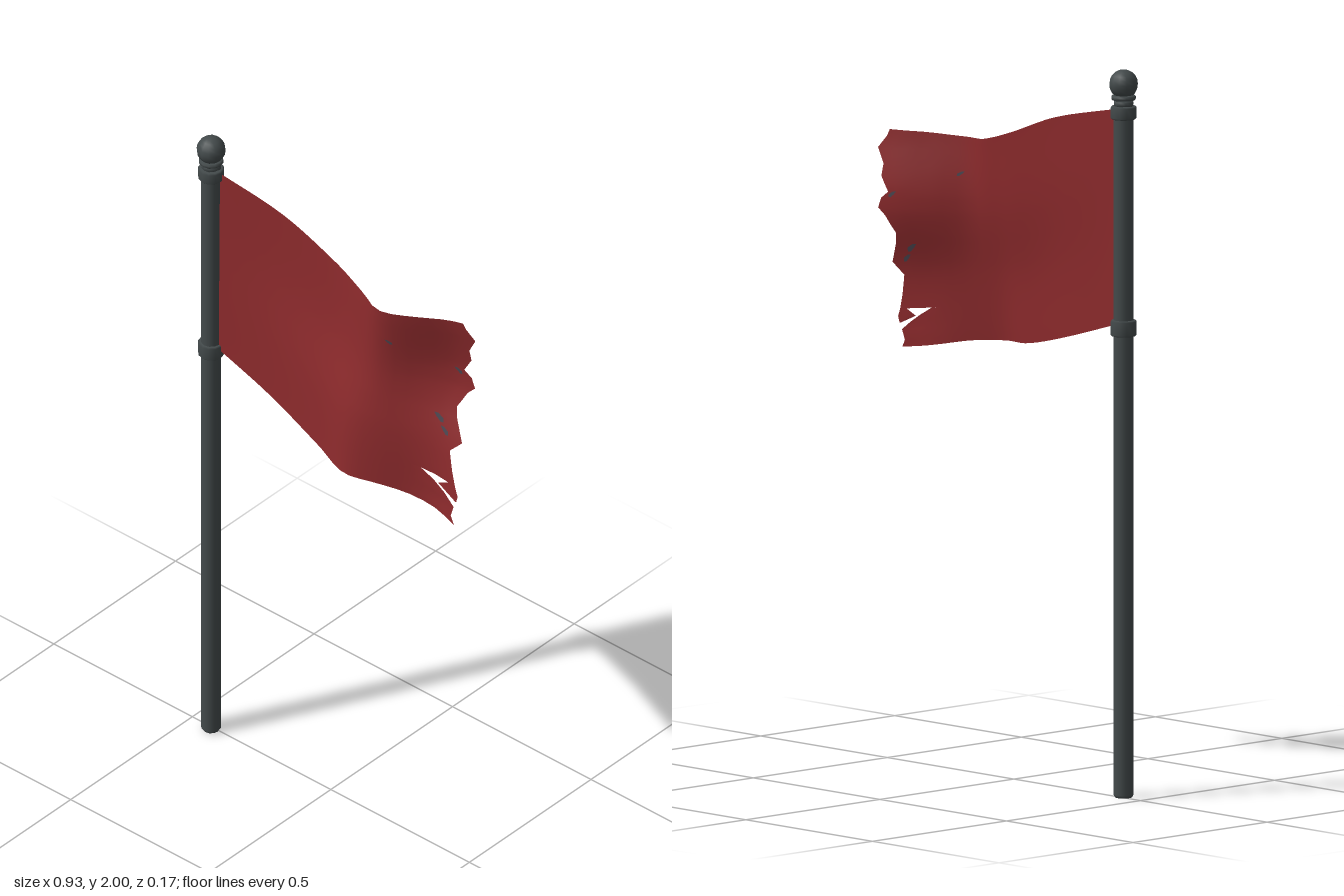
import * as THREE from 'three';
import { mergeGeometries, mergeVertices } from 'three/addons/utils/BufferGeometryUtils.js';

// Smooth curve through the points (xs, ys), with cubic Hermite pieces
function smooth(xs, ys, x) {
  const n = xs.length;
  x = Math.min(Math.max(x, xs[0]), xs[n - 1]);
  let i = 0;
  while (i < n - 2 && x > xs[i + 1]) i++;
  const slope = (k) => {
    const a = Math.max(k - 1, 0), b = Math.min(k + 1, n - 1);
    return (ys[b] - ys[a]) / (xs[b] - xs[a]);
  };
  const h = xs[i + 1] - xs[i], t = (x - xs[i]) / h, t2 = t * t, t3 = t2 * t;
  return (2 * t3 - 3 * t2 + 1) * ys[i] + (t3 - 2 * t2 + t) * h * slope(i)
    + (3 * t2 - 2 * t3) * ys[i + 1] + (t3 - t2) * h * slope(i + 1);
}

// Cloth surface: x along the flag, v from 0 (lower hem) to 1 (upper hem)
const EDGE_X = [-0.4, -0.18, 0, 0.14, 0.22, 0.33, 0.46];
const TOP_Y = [1.889, 1.842, 1.778, 1.741, 1.737, 1.743, 1.745];
const LOW_Y = [1.296, 1.233, 1.192, 1.18, 1.174, 1.153, 1.132];
const WAVE_X = [-0.4, -0.2, 0, 0.12, 0.2, 0.3, 0.38, 0.46];
const WAVE_V = [0, 0.33, 0.66, 1];
const WAVE_Z = [
  [0.005, 0.015, 0.05, 0.087, 0.063, 0.018, 0.005, 0.018],
  [0.004, 0.008, 0.035, 0.065, 0.05, 0.008, -0.016, -0.022],
  [0.002, -0.008, 0, 0.025, 0.025, -0.035, -0.075, -0.09],
  [0, -0.016, -0.017, 0.005, 0.03, -0.01, -0.055, -0.08],
];
function clothPoint(x, v, offset = 0) {
  const low = smooth(EDGE_X, LOW_Y, x), top = smooth(EDGE_X, TOP_Y, x);
  const z = smooth(WAVE_V, WAVE_Z.map((row) => smooth(WAVE_X, row, x)), v);
  return [x, low + (top - low) * v, z + offset];
}

// Sheet of cloth from rows [v, left x, right x], listed downwards.
// Columns left of x = 0.3 stay fixed so neighbouring sheets meet.
function sheet(rows, offset = 0) {
  const fine = [rows[0]];
  for (let i = 1; i < rows.length; i++) {
    const a = rows[i - 1], b = rows[i], steps = Math.ceil((a[0] - b[0]) / 0.045);
    for (let k = 1; k <= steps; k++) fine.push(a.map((c, j) => c + (b[j] - c) * k / steps));
  }
  const pos = [], index = [];
  const wide = rows[0][1] < 0.2 && rows[0][2] > 0.3;
  const fixed = wide ? 22 : 0, cols = fixed + 4;
  fine.forEach(([v, left, right], r) => {
    for (let c = 0; c <= cols; c++) {
      const start = wide ? 0.3 : left;
      const x = c < fixed ? left + (0.3 - left) * c / fixed : start + (right - start) * (c - fixed) / 4;
      pos.push(...clothPoint(x, v, offset));
      if (r && c) {
        const d = r * (cols + 1) + c, b = d - cols - 1;
        index.push(b - 1, d - 1, d, b - 1, d, b);
      }
    }
  });
  const geo = new THREE.BufferGeometry();
  geo.setAttribute('position', new THREE.Float32BufferAttribute(pos, 3));
  geo.setIndex(index);
  return geo;
}

export function createModel() {
  const model = new THREE.Group();
  const iron = new THREE.MeshStandardMaterial({ color: 0x434a4b });
  iron.name = 'dark iron';
  const cloth = new THREE.MeshStandardMaterial({ color: 0x8c2a2c, side: THREE.DoubleSide });
  cloth.name = 'red cloth';

  const add = (name, geo, mat, parent = model) => {
    const mesh = new THREE.Mesh(geo, mat);
    mesh.name = name;
    parent.add(mesh);
    return mesh;
  };

  // Pole with its fittings, all on one axis
  const post = new THREE.Group();
  post.name = 'flagpole';
  post.position.set(-0.427, 0, 0.006);
  model.add(post);
  const shaft = [[0, 0], [0.023, 0], [0.028, 0.008], [0.028, 1.9], [0, 1.9]];
  add('shaft', new THREE.LatheGeometry(shaft.map((p) => new THREE.Vector2(...p)), 12), iron, post);

  // Bevelled rings: name, middle height, radius, height
  const rings = [
    ['lowerCollar', 1.29, 0.036, 0.044],
    ['upperCollar', 1.882, 0.036, 0.036],
    ['lowerNeckRing', 1.907, 0.027, 0.016],
    ['upperNeckRing', 1.923, 0.034, 0.014],
  ];
  for (const [name, y, r, h] of rings) {
    const b = 0.004, e = h / 2;
    const profile = [[0, -e], [r - b, -e], [r, b - e], [r, e - b], [r - b, e], [0, e]];
    add(name, new THREE.LatheGeometry(profile.map((p) => new THREE.Vector2(...p)), 12), iron, post)
      .position.y = y;
  }
  add('ballFinial', new THREE.SphereGeometry(0.04, 12, 10), iron, post).position.y = 1.96;

  // Torn flag: main cloth, strip below the tear, loose tongue inside the tear
  const L = -0.405;
  const tornEdge = [
    [1, 0.418], [0.97, 0.425], [0.915, 0.45], [0.845, 0.428], [0.79, 0.432], [0.72, 0.408],
    [0.69, 0.432], [0.645, 0.445], [0.61, 0.425], [0.53, 0.402], [0.48, 0.412], [0.39, 0.445],
    [0.33, 0.412], [0.24, 0.43], [0.175, 0.447],
  ].map(([v, x]) => [v, L, x]);
  const parts = [
    sheet(tornEdge),
    sheet([[0.175, L, 0.33], [0.08, L, 0.45], [0.03, L, 0.443], [0, L, 0.46]]),
    sheet([[0.175, 0.42, 0.447], [0.14, 0.385, 0.46], [0.11, 0.452, 0.457]]),
  ];
  const flagGeo = mergeVertices(mergeGeometries(parts), 1e-4);
  flagGeo.computeVertexNormals();
  add('flag', flagGeo, cloth);

  // Small dark frayed spots, on both faces of the cloth
  const spotMat = new THREE.MeshStandardMaterial({ color: 0x4a4650, side: THREE.DoubleSide });
  spotMat.name = 'frayed grey';
  const spots = [[0.226, 0.82, 0.012], [0.395, 0.71, 0.014], [0.365, 0.46, 0.018], [0.388, 0.41, 0.016]];
  for (const [x, v, s] of spots) {
    for (const side of [-0.003, 0.003]) {
      const geo = sheet([[v + s, x - s, x - s * 0.4], [v, x - s * 0.5, x + s * 0.6], [v - s, x + s * 0.2, x + s * 0.7]], side);
      geo.computeVertexNormals();
      add('frayedSpot', geo, spotMat);
    }
  }
  return model;
}
